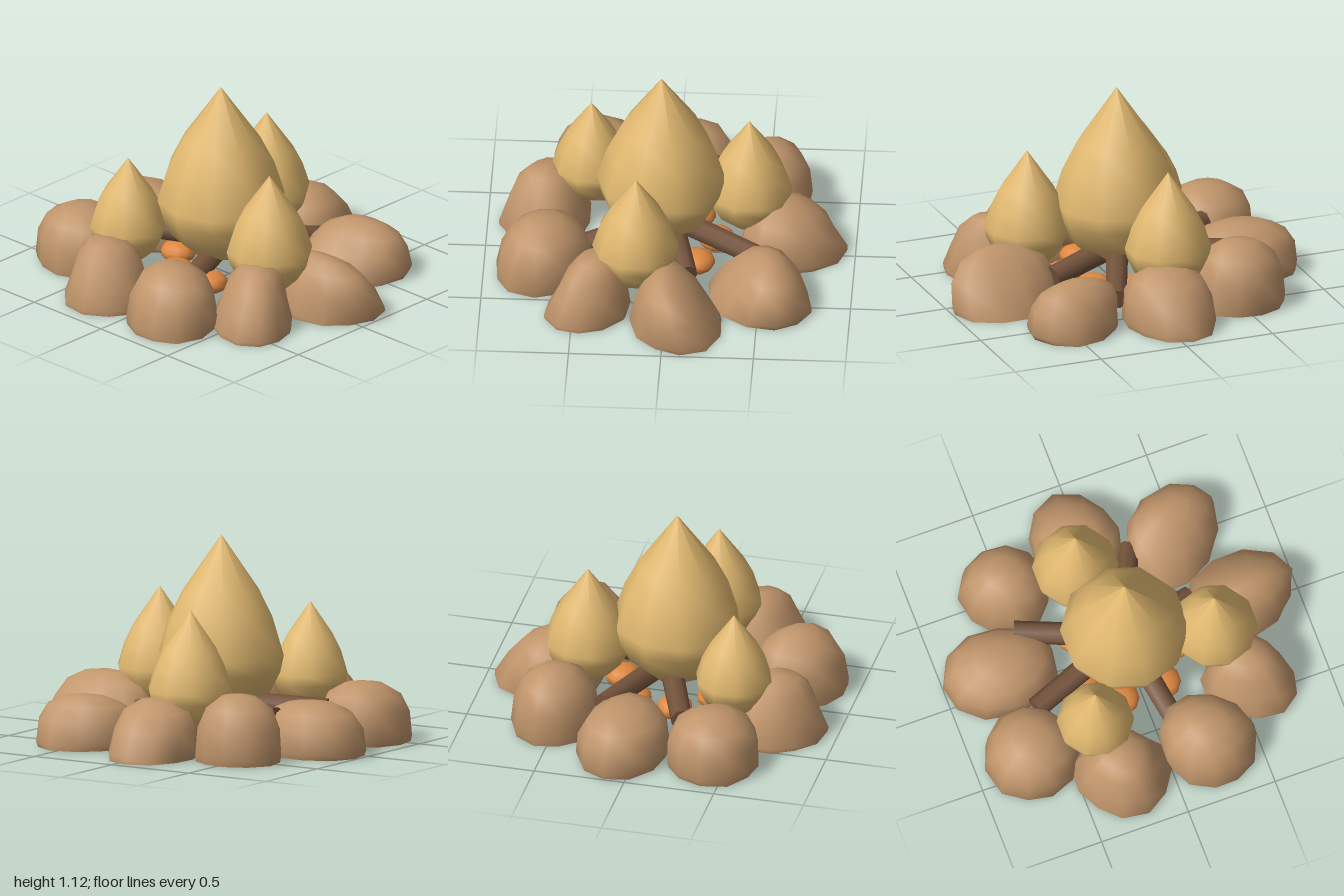
import * as THREE from 'three';
import { mergeVertices, toCreasedNormals } from 'three/addons/utils/BufferGeometryUtils.js';

const flat = (name, color) => {
  const m = new THREE.MeshStandardMaterial({ color });
  m.name = name;
  return m;
};

function seeded(seed) {
  let s = seed * 7919 + 17;
  return () => (s = (s * 16807) % 2147483647) / 2147483647;
}

// Lathe with a vertex on the x axis
const turned = (profile, sides) =>
  new THREE.LatheGeometry(profile.map(([r, y]) => new THREE.Vector2(r, y)), sides).rotateY(Math.PI / 2);

// Dome-shaped rock with a flat base, unit radius and height
const DOME = [[0, 0], [0.96, 0], [1, 0.1], [0.96, 0.5], [0.78, 0.79], [0.43, 0.95], [0, 1]];
const PINCHED = [[0, 0], [0.98, 0], [1, 0.07], [0.84, 0.38], [0.68, 0.75], [0.42, 0.95], [0, 1]];

function rockGeometry({ radial, across, height, lean = 0, taper = 0, pinch, angle }, seed) {
  let g = turned(pinch ? PINCHED : DOME, 11);
  g.deleteAttribute('uv');
  g.deleteAttribute('normal');
  g = mergeVertices(g, 1e-4);
  const rnd = seeded(seed);
  const p = g.attributes.position;
  const a = rnd() * 6.28, b = rnd() * 6.28;
  const cos = Math.cos(angle), sin = Math.sin(angle);
  for (let i = 0; i < p.count; i++) {
    const y = p.getY(i), t = Math.atan2(p.getZ(i), p.getX(i));
    // Wavy outline, stronger creases on the pinched rocks
    const k = 1 + 0.03 * Math.sin(2 * t + a) + (pinch ? 0.06 : 0.025) * Math.sin(3 * t + b + y)
      + (rnd() - 0.5) * 0.04;
    const u = p.getX(i) * k * radial, v = p.getZ(i) * k * across;
    // Sides narrow and lean along x towards the top
    p.setXYZ(i, (u * cos - v * sin) * (1 - taper * y) + lean * y, y * height, u * sin + v * cos);
  }
  return toCreasedNormals(g, 1.1);
}

export function createModel() {
  const model = new THREE.Group();
  model.name = 'campfire';
  const stone = flat('stone brown', 0xc0956b);
  const flame = flat('flame yellow', 0xe0b86f);
  const wood = flat('dark wood', 0x74533c);
  const ember = flat('ember orange', 0xdf8840);

  const add = (name, geometry, material, parent) => {
    const mesh = new THREE.Mesh(geometry, material);
    mesh.name = name;
    parent.add(mesh);
    return mesh;
  };
  const group = (name) => {
    const g = new THREE.Group();
    g.name = name;
    model.add(g);
    return g;
  };

  // Ring of nine rocks
  const ring = group('stoneRing');
  const rocks = [
    { x: -0.42, z: -0.69, radial: 0.25, across: 0.265, height: 0.33 },
    { x: 0.08, z: -0.69, radial: 0.31, across: 0.25, height: 0.29 },
    { x: 0.51, z: -0.50, radial: 0.245, across: 0.24, height: 0.37, taper: 0.1 },
    { x: 0.66, z: -0.04, radial: 0.30, across: 0.25, height: 0.32, taper: 0.35, lean: -0.05 },
    { x: 0.50, z: 0.46, radial: 0.32, across: 0.25, height: 0.29, taper: 0.45, lean: 0.06 },
    { x: 0.07, z: 0.69, radial: 0.31, across: 0.26, height: 0.33, taper: 0.5, lean: -0.07 },
    { x: -0.42, z: 0.57, radial: 0.265, across: 0.215, height: 0.35, pinch: true, lean: 0.05 },
    { x: -0.67, z: 0.23, radial: 0.29, across: 0.245, height: 0.35, taper: 0.2 },
    { x: -0.68, z: -0.26, radial: 0.25, across: 0.265, height: 0.35, pinch: true },
  ];
  rocks.forEach((r, i) => {
    const angle = Math.atan2(r.z, r.x);
    add('stone' + (i + 1), rockGeometry({ ...r, angle }, i + 3), stone, ring).position.set(r.x, 0, r.z);
  });

  // Pointed flames: heights are measured from the widest ring
  const flames = group('flames');
  const teardrop = turned([[0, -0.34], [0.16, -0.31], [0.27, -0.21], [0.33, -0.09], [0.35, 0],
    [0.295, 0.18], [0.215, 0.34], [0, 0.65]], 10);
  [
    ['mainFlame', -0.05, 0.47, -0.015, 1],
    ['frontFlame', -0.165, 0.345, 0.46, 0.67],
    ['leftFlame', 0.42, 0.345, -0.125, 0.67],
    ['backFlame', -0.445, 0.34, -0.33, 0.6],
  ].forEach(([name, x, y, z, s]) => {
    const f = add(name, teardrop, flame, flames);
    f.position.set(x, y, z);
    f.scale.setScalar(s);
  });

  // Logs crossing under the main flame: outer x, y, z and inner height
  const logs = group('logs');
  [
    [-0.22, 0.19, -0.59, 0.22],
    [0.23, 0.20, -0.55, 0.20],
    [0.50, 0.12, 0.21, 0.25],
    [-0.48, 0.09, 0.10, 0.25],
    [0.11, 0.14, 0.42, 0.25],
  ].forEach(([x, y, z, innerY], i) => {
    const outer = new THREE.Vector3(x, y, z);
    const inner = new THREE.Vector3(-x * 0.2, innerY, -z * 0.2);
    const dir = outer.clone().sub(inner);
    const log = add('log' + (i + 1), new THREE.CylinderGeometry(0.06, 0.065, dir.length(), 8), wood, logs);
    log.position.copy(inner).add(outer).multiplyScalar(0.5);
    log.quaternion.setFromUnitVectors(new THREE.Vector3(0, 1, 0), dir.normalize());
  });

  // Seven embers around the logs
  const embers = group('embers');
  const coal = new THREE.SphereGeometry(1, 10, 7);
  for (let i = 0; i < 7; i++) {
    const t = 0.86 + i * Math.PI * 2 / 7;
    const e = add('ember' + (i + 1), coal, ember, embers);
    e.position.set(0.28 * Math.cos(t) - 0.03, 0.08, 0.28 * Math.sin(t) - 0.01);
    e.scale.set(0.1, 0.06, 0.1);
  }
  return model;
}
